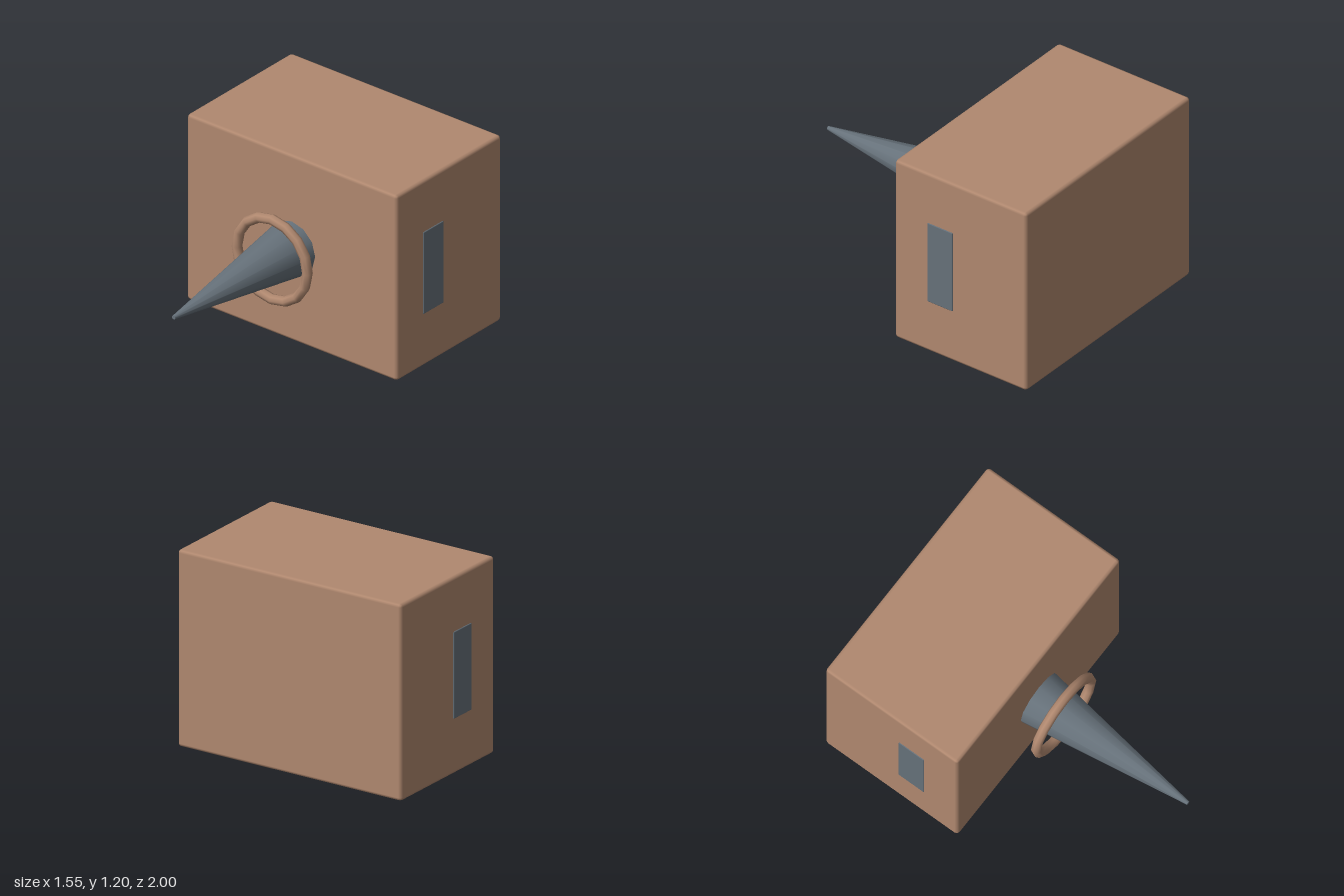
import * as THREE from 'three';
import { RoundedBoxGeometry } from 'three/addons/geometries/RoundedBoxGeometry.js';

export function createModel() {
  const group = new THREE.Group();
  const clay = new THREE.MeshStandardMaterial({ color: 0xb0886f });
  clay.name = 'clayBrown';
  const steel = new THREE.MeshStandardMaterial({ color: 0x66717a });
  steel.name = 'slateGrey';

  const add = (name, geometry, material, x, y, z) => {
    const mesh = new THREE.Mesh(geometry, material);
    mesh.name = name;
    mesh.position.set(x, y, z);
    group.add(mesh);
    return mesh;
  };

  // Block with softened edges
  add('block', new RoundedBoxGeometry(1.54, 1.2, 0.94, 1, 0.02), clay, 0, 0.6, -0.53);

  // Spike tapering forward, rooted just inside the block
  const spike = new THREE.CylinderGeometry(0.012, 0.175, 1.08, 12);
  spike.rotateX(Math.PI / 2);
  add('spike', spike, steel, 0, 0.6, 0.46);

  // Loose collar around the spike
  add('collarRing', new THREE.TorusGeometry(0.258, 0.031, 8, 16), clay, 0, 0.6, 0.115);

  // Thin plate on each side
  for (const side of [-1, 1]) {
    add(side > 0 ? 'leftPlate' : 'rightPlate',
      new RoundedBoxGeometry(0.03, 0.53, 0.18, 1, 0.005), steel, side * 0.76, 0.603, -0.386);
  }
  return group;
}
